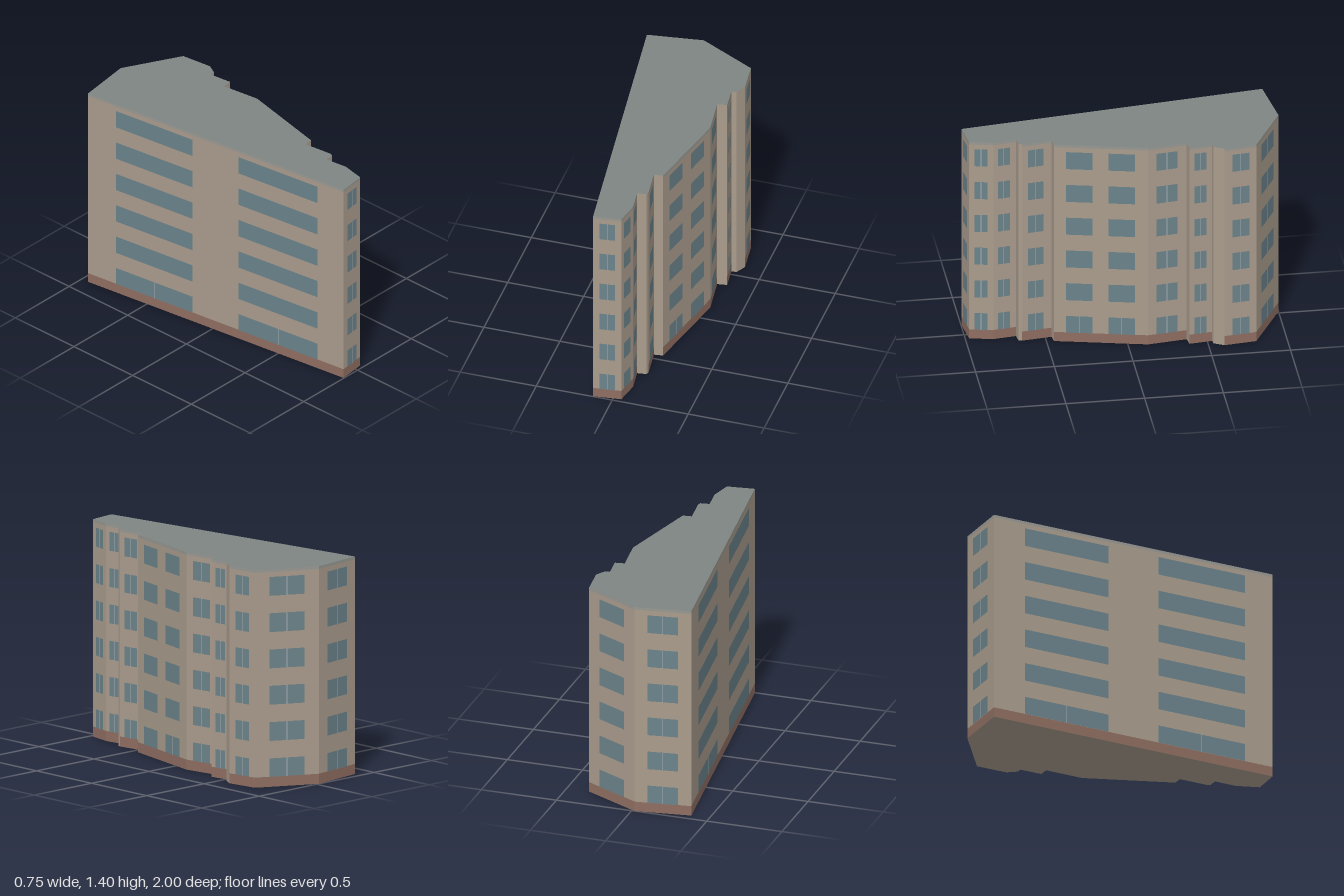
import * as THREE from 'three';
import { mergeGeometries } from 'three/addons/utils/BufferGeometryUtils.js';

const HEIGHT = 1.4, PLINTH = 0.065, TRIM = 1.382, FLOORS = 6, STEP = 0.2335;

const ONE = [[0.24, 0.78]];
const PLAIN = null;

// Plan corners [x, z], each with the windows of the wall that starts there
// (start and end as fractions of the wall length), and whether they are paired panes
const PLAN = [
  [-0.38, -0.95, [[0.23, 0.77]], true],
  [-0.02, -1.0, [[0.23, 0.77]], true],
  [0.35, -0.805, [[0.22, 0.76]], true],
  [0.375, -0.6, PLAIN],
  [0.34, -0.535, PLAIN],
  [0.307, -0.53, ONE, true],
  [0.325, -0.385, PLAIN],
  [0.262, -0.375, ONE, true],
  [0.295, -0.125, [[0.14, 0.42], [0.59, 0.87]], false],
  [0.164, 0.453, PLAIN],
  [0.106, 0.46, [[0.27, 0.8]], true],
  [0.13, 0.65, PLAIN],
  [0.123, 0.672, PLAIN],
  [0.064, 0.68, [[0.27, 0.81]], true],
  [0.083, 0.825, ONE, true],
  [0.052, 0.975, [[0.23, 0.77]], true],
  [-0.127, 0.997, [[0.1, 0.41], [0.59, 0.89]], false],
];

// Upright rectangle on the wall a-b, between fractions u0-u1 and heights y0-y1
function panel(a, b, u0, u1, y0, y1, out = 0) {
  const dx = b[0] - a[0], dz = b[1] - a[1], len = Math.hypot(dx, dz);
  const nx = dz / len, nz = -dx / len;
  const at = (u, y) => [a[0] + dx * u + nx * out, y, a[1] + dz * u + nz * out];
  const geo = new THREE.BufferGeometry();
  const corners = [at(u1, y0), at(u0, y0), at(u0, y1), at(u1, y1)];
  geo.setAttribute('position', new THREE.Float32BufferAttribute(corners.flat(), 3));
  geo.setIndex([0, 1, 2, 0, 2, 3]);
  geo.computeVertexNormals();
  return geo;
}

export function createModel() {
  const group = new THREE.Group();
  const add = (name, geometry, color) => {
    const mesh = new THREE.Mesh(geometry, new THREE.MeshStandardMaterial({ color }));
    mesh.name = name;
    group.add(mesh);
    return mesh;
  };
  const walls = [], plinth = [], trim = [], glass = [], mullions = [];

  PLAN.forEach((a, i) => {
    const b = PLAN[(i + 1) % PLAN.length];
    const [, , windows, paired] = a;
    // Narrow returns run plain from ground to roof
    if (!windows) {
      walls.push(panel(a, b, 0, 1, 0, HEIGHT));
      return;
    }
    plinth.push(panel(a, b, 0, 1, 0, PLINTH));
    walls.push(panel(a, b, 0, 1, PLINTH, TRIM));
    trim.push(panel(a, b, 0, 1, TRIM, HEIGHT));

    // Windows on every floor; the ground floor always has paired panes
    const length = Math.hypot(b[0] - a[0], b[1] - a[1]);
    for (const [u0, u1] of windows) {
      for (let f = 0; f < FLOORS; f++) {
        const y0 = PLINTH + f * STEP - (f ? 0.003 : 0), y1 = 0.183 + f * STEP;
        glass.push(panel(a, b, u0, u1, y0, y1, 0.002));
        if (paired || f === 0) {
          const mid = (u0 + u1) / 2, half = 0.002 / length;
          mullions.push(panel(a, b, mid - half, mid + half, y0, y1, 0.003));
        }
      }
    }
  });

  add('walls', mergeGeometries(walls), 0xaa9c8d);
  add('plinth', mergeGeometries(plinth), 0x8f6e61);
  add('roofTrim', mergeGeometries(trim), 0x989893);
  add('windows', mergeGeometries(glass), 0x6b838b);
  add('windowMullions', mergeGeometries(mullions), 0xa9b2b5);

  // Flat roof and underside share the plan outline
  const outline = new THREE.Shape(PLAN.map(([x, z]) => new THREE.Vector2(x, -z)));
  const roof = new THREE.ShapeGeometry(outline).rotateX(-Math.PI / 2).translate(0, HEIGHT, 0);
  add('roof', roof, 0x7d8582);
  const mirrored = new THREE.Shape(PLAN.map(([x, z]) => new THREE.Vector2(x, z)));
  add('underside', new THREE.ShapeGeometry(mirrored).rotateX(Math.PI / 2), 0xaa9c8d);

  return group;
}
